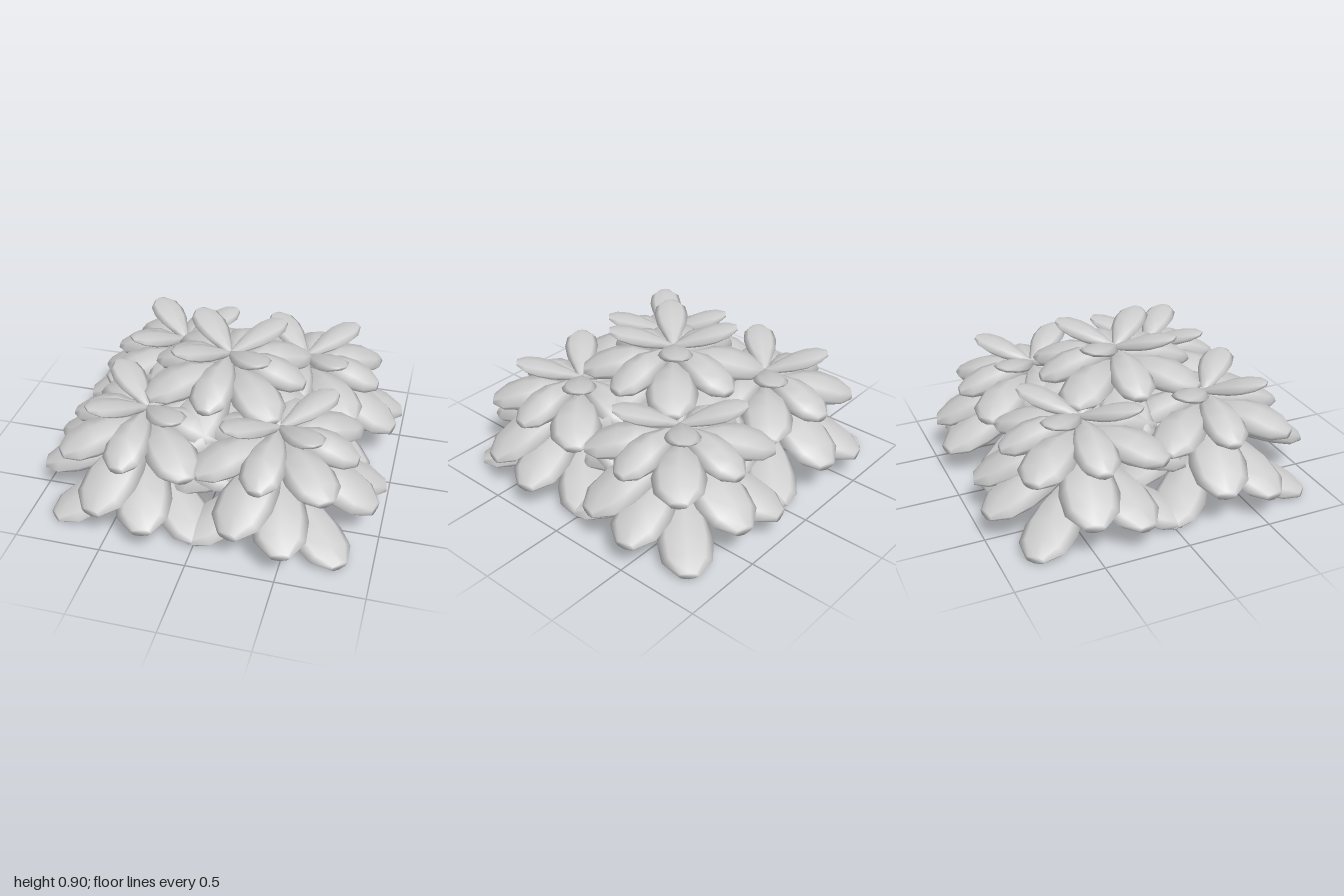
import * as THREE from 'three';

const material = new THREE.MeshStandardMaterial({ color: 0xcccccc });

// Leaf cross-sections: [position along the leaf, width, thickness], as fractions
const SECTIONS = [
  [0, 0.14, 0.4], [0.2, 0.48, 0.75], [0.45, 0.87, 1], [0.66, 1, 0.95],
  [0.86, 0.88, 0.66], [1, 0.36, 0.28],
];
const SIDES = 8;

// A plump leaf running out along +z, from height y0 at the stem to y1 at the tip
function leafGeometry({ length, width, thick, y0, y1, arch }) {
  const pos = [], index = [];
  for (const [t, w, h] of SECTIONS) {
    const y = y0 + (y1 - y0) * t + arch * Math.sin(Math.PI * t);
    for (let k = 0; k < SIDES; k++) {
      const a = (k / SIDES) * Math.PI * 2;
      const s = Math.sin(a);
      // pinched sides give the leaf a fairly sharp rim
      pos.push(Math.cos(a) * w * width / 2, y + s * Math.abs(s) ** 0.2 * h * thick / 2, t * length);
    }
  }
  for (let s = 0; s < SECTIONS.length - 1; s++) {
    for (let k = 0; k < SIDES; k++) {
      const a = s * SIDES + k, b = s * SIDES + (k + 1) % SIDES;
      index.push(a, b, a + SIDES, b, b + SIDES, a + SIDES);
    }
  }
  // end caps
  const last = (SECTIONS.length - 1) * SIDES;
  for (let k = 1; k < SIDES - 1; k++) {
    index.push(last, last + k, last + k + 1, 0, k + 1, k);
  }
  const g = new THREE.BufferGeometry();
  g.setAttribute('position', new THREE.Float32BufferAttribute(pos, 3));
  g.setIndex(index);
  g.computeVertexNormals();
  return g;
}

// Whorls of four leaves, from the top down; turn is in degrees
const WHORLS = [
  { name: 'crownLeaf', turn: 46, length: 0.37, width: 0.2, thick: 0.085, y0: 0.59, y1: 0.705, arch: 0.005 },
  { name: 'upperLeaf', turn: 5, length: 0.455, width: 0.25, thick: 0.17, y0: 0.55, y1: 0.47, arch: 0.02 },
  { name: 'shoulderLeaf', turn: 50, length: 0.53, width: 0.3, thick: 0.17, y0: 0.48, y1: 0.44, arch: 0.03 },
  { name: 'middleLeaf', turn: 15, length: 0.6, width: 0.33, thick: 0.18, y0: 0.42, y1: 0.25, arch: 0.03 },
  { name: 'lowerLeaf', turn: -13, length: 0.62, width: 0.32, thick: 0.17, y0: 0.34, y1: 0.19, arch: 0.02 },
  { name: 'bottomLeaf', turn: 45, length: 0.62, width: 0.31, thick: 0.155, y0: 0.25, y1: 0.045, arch: -0.02 },
];

function createRosette() {
  const rosette = new THREE.Group();
  for (const whorl of WHORLS) {
    const geometry = leafGeometry(whorl);
    for (let i = 0; i < 4; i++) {
      const leaf = new THREE.Mesh(geometry, material);
      leaf.name = whorl.name;
      leaf.rotation.y = THREE.MathUtils.degToRad(i * 90 - whorl.turn);
      rosette.add(leaf);
    }
  }
  return rosette;
}

export function createModel() {
  const model = new THREE.Group();
  model.name = 'leafyPlant';
  const rosette = createRosette();

  // Four rosettes at the corners and a raised one in the middle
  const spots = [[0, 0.19, 0, 'centreRosette']];
  for (const x of [-0.387, 0.387]) {
    for (const z of [-0.387, 0.387]) spots.push([x, 0, z, 'cornerRosette']);
  }
  for (const [x, y, z, name] of spots) {
    const copy = rosette.clone();
    copy.name = name;
    copy.position.set(x, y, z);
    model.add(copy);
  }
  return model;
}
